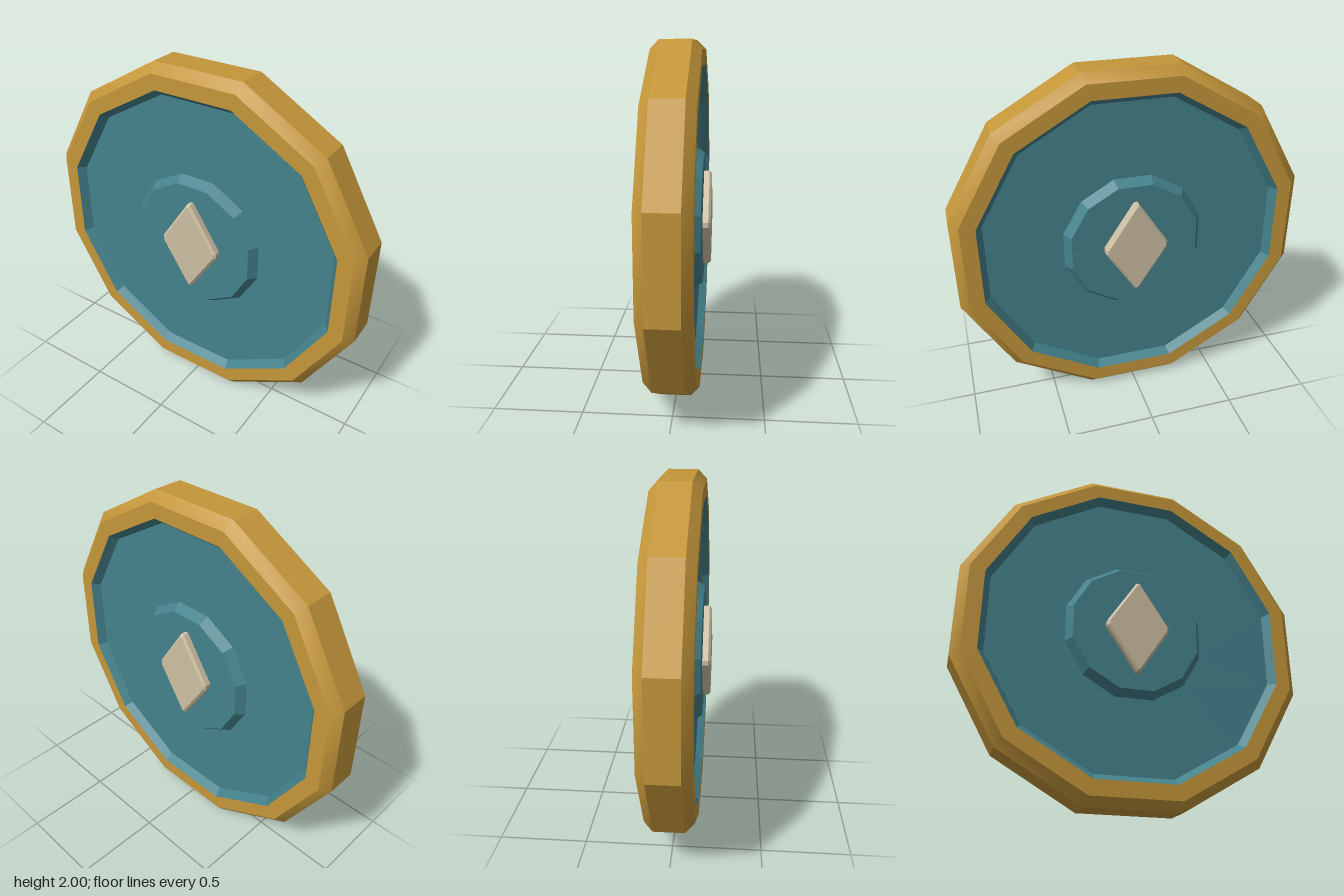
import * as THREE from 'three';
import { toCreasedNormals } from 'three/addons/utils/BufferGeometryUtils.js';

const SIDES = 12;
const CREASE = THREE.MathUtils.degToRad(23);

function material(name, color, side = THREE.FrontSide) {
  const m = new THREE.MeshStandardMaterial({ color, side });
  m.name = name;
  return m;
}

// Twelve-sided turning around z; the profile gives [distance to flat side, z]
function turned(profile) {
  const k = 1 / Math.cos(Math.PI / SIDES);
  const points = profile.map(([r, z]) => new THREE.Vector2(r * k, z));
  const geometry = new THREE.LatheGeometry(points, SIDES);
  geometry.rotateY(Math.PI / SIDES);
  geometry.rotateX(Math.PI / 2);
  return toCreasedNormals(geometry, CREASE);
}

export function createModel() {
  const gold = material('gold', 0xc4963a);
  const teal = material('teal', 0x44828c);
  const cream = material('cream', 0xcdbfa2);

  const coin = new THREE.Group();
  coin.name = 'coin';
  coin.position.y = 1;

  function add(name, geometry, mat) {
    const mesh = new THREE.Mesh(geometry, mat);
    mesh.name = name;
    coin.add(mesh);
    return mesh;
  }

  // Bevelled outer rim
  add('rim', turned([
    [0.865, -0.135], [0.95, -0.135], [1, -0.085],
    [1, 0.085], [0.95, 0.135], [0.865, 0.135],
  ]), gold);

  // Recessed face with a raised central boss, on both sides
  const face = turned([
    [0.865, 0.135], [0.83, 0.088], [0.4, 0.088], [0.365, 0.14], [0, 0.14],
  ]);
  add('frontFace', face, teal);
  add('backFace', face, teal).rotation.y = Math.PI;

  // Diamond running through the coin, with clipped tips and a small bevel
  const outline = [
    [0.18, -0.015], [0.18, 0.015], [0.01, 0.275], [-0.01, 0.275],
    [-0.18, 0.015], [-0.18, -0.015], [-0.01, -0.275], [0.01, -0.275],
  ].map(([x, y]) => new THREE.Vector2(x, y));
  const bevel = 0.013;
  const halfDepth = 0.185;
  const diamond = new THREE.ExtrudeGeometry(new THREE.Shape(outline), {
    depth: 2 * (halfDepth - bevel),
    bevelSize: bevel,
    bevelThickness: bevel,
    bevelOffset: -bevel,
    bevelSegments: 1,
  });
  diamond.translate(0, 0, bevel - halfDepth);
  add('diamond', diamond, cream);

  const model = new THREE.Group();
  model.name = 'model';
  model.add(coin);
  return model;
}
